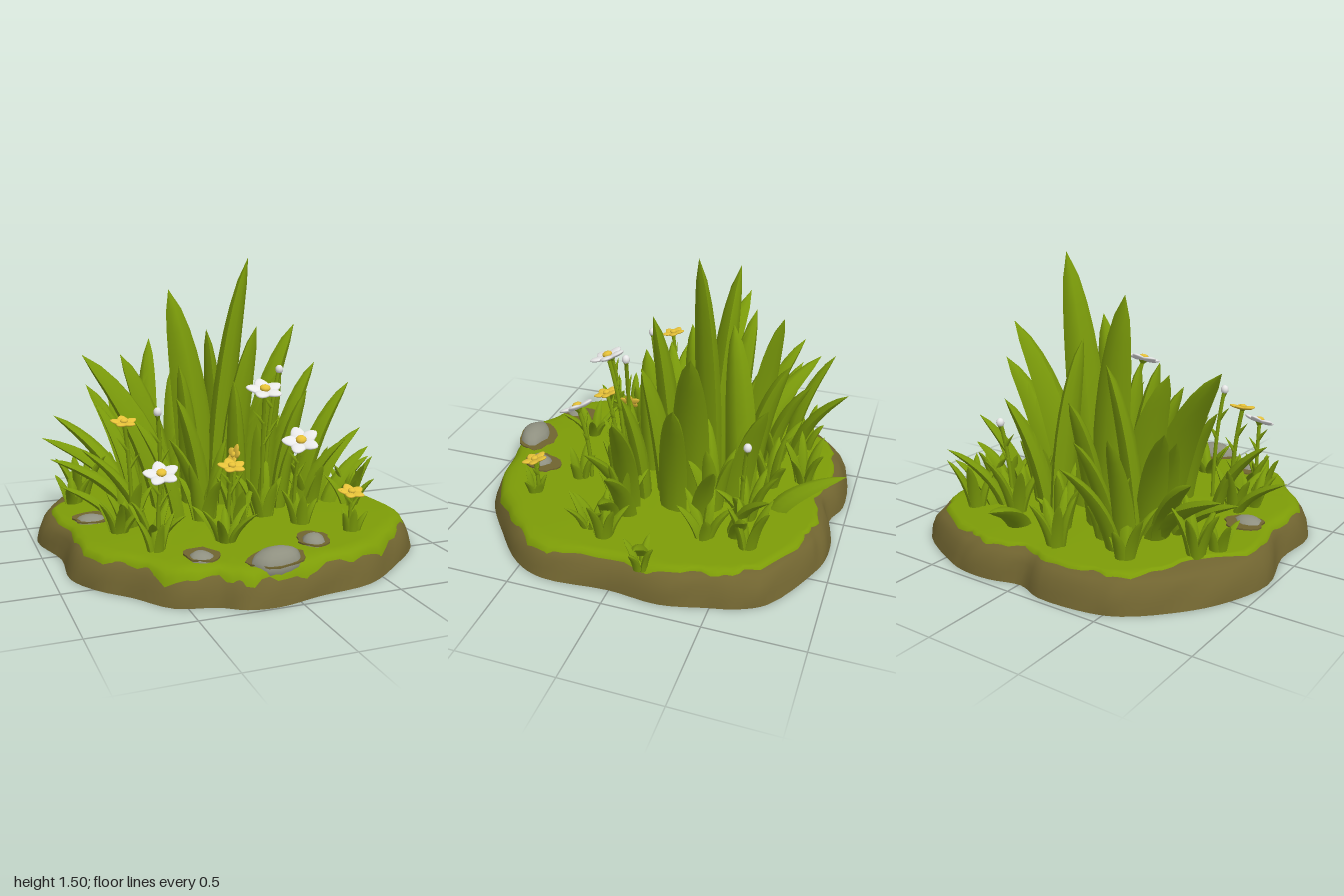
import * as THREE from 'three';
import { mergeGeometries, toCreasedNormals } from 'three/addons/utils/BufferGeometryUtils.js';

const V = (x, y, z) => new THREE.Vector3(x, y, z);

function material(name, color) {
  const m = new THREE.MeshStandardMaterial({ color });
  m.name = name;
  return m;
}

// Seeded random numbers
let seed = 11;
const rnd = (a = 0, b = 1) => {
  seed = (seed * 16807) % 2147483647;
  return a + (b - a) * seed / 2147483647;
};

// Skin over rings of points that run clockwise seen from the far end
function loft(rings, capStart = false, crease = 0.85) {
  const n = rings[0].length, pos = [], idx = [];
  rings.forEach(r => r.forEach(p => pos.push(p.x, p.y, p.z)));
  for (let i = 0; i < rings.length - 1; i++) for (let j = 0; j < n; j++) {
    const a = i * n + j, b = i * n + (j + 1) % n;
    idx.push(a, a + n, b, b, a + n, b + n);
  }
  if (capStart) {
    const c = rings[0].reduce((s, p) => s.add(p), V(0, 0, 0)).divideScalar(n);
    pos.push(c.x, c.y, c.z);
    for (let j = 0; j < n; j++) idx.push(pos.length / 3 - 1, j, (j + 1) % n);
  }
  const g = new THREE.BufferGeometry();
  g.setAttribute('position', new THREE.Float32BufferAttribute(pos, 3));
  g.setIndex(idx);
  return toCreasedNormals(g, crease);
}

// Outline of the clod seen from above (x, z)
const OUTLINE = [[-.16, -.97], [-.01, -.92], [.16, -.96], [.32, -.96], [.43, -.93], [.75, -.76], [.83, -.63],
  [.87, -.48], [.92, -.26], [.9, 0], [.92, .35], [.85, .52], [.65, .71], [.4, .89], [.11, .94], [-.11, .99],
  [-.26, .97], [-.37, .9], [-.56, .84], [-.7, .66], [-.83, .52], [-.92, .34], [-.91, .05], [-.98, -.26],
  [-.88, -.56], [-.73, -.76], [-.57, -.9], [-.44, -.95]];
// Edge profile: outline scale and height
const PROFILE = [[1, 0], [.988, .05], [.968, .1], [.94, .138], [.9, .157], [.65, .163], [0, .172]];
function heightAt(s) {
  const i = PROFILE.findIndex(p => p[0] <= s), [s1, y1] = PROFILE[i], [s0, y0] = PROFILE[Math.max(0, i - 1)];
  return i ? y0 + (y1 - y0) * (s0 - s) / (s0 - s1) : 0;
}

// Pointed leaf blade from base [x, z] to tip [x, y, z], half width w
const SECTION = [[1, 0], [.62, .5], [0, .78], [-.62, .5], [-1, 0], [-.6, -.38], [0, -.5], [.6, -.38]];
function blade([bx, bz], [tx, ty, tz], w, twist = 0) {
  const y0 = .14, steps = 9;
  const curve = new THREE.QuadraticBezierCurve3(V(bx, y0, bz),
    V(bx + (tx - bx) * .18, y0 + (ty - y0) * .58, bz + (tz - bz) * .18), V(tx, ty, tz));
  const lean = Math.atan2(tz - bz, tx - bx) + twist;
  const side = V(-Math.sin(lean), 0, Math.cos(lean));
  const rings = [];
  for (let i = 0; i <= steps; i++) {
    const t = i / steps, T = curve.getTangent(t), P = curve.getPoint(t);
    const U = side.clone().addScaledVector(T, -side.dot(T)).normalize();
    const N = U.clone().cross(T);
    const k = w * Math.max(.004, Math.pow(1 - t, .7) * (.8 + .9 * t) * 1.15);
    rings.push(SECTION.map(([u, v]) => P.clone().addScaledVector(U, u * k).addScaledVector(N, v * k)));
  }
  return loft(rings);
}

export function createModel() {
  seed = 11;
  const model = new THREE.Group();
  const grass = material('grass green', 0x7d9c07);
  const leafGreen = material('blade green', 0x7a9a0a);
  const soil = material('soil brown', 0x706430);
  const stone = material('stone grey', 0x8f9080);
  const white = material('petal white', 0xececec);
  const yellow = material('petal yellow', 0xe6c138);
  const add = (name, geo, mat, parent = model) => {
    const m = new THREE.Mesh(geo, mat);
    m.name = name;
    parent.add(m);
    return m;
  };

  // Soil clod, open under the turf
  const edge = new THREE.CatmullRomCurve3(OUTLINE.map(([x, z]) => V(x, 0, z)), true, 'centripetal')
    .getPoints(112).slice(0, -1);
  const soilRings = PROFILE.slice(0, -1).map(([s, y], i) => edge.map((p, j) => {
    const bump = i > 0 && i < 4 ? .008 * Math.sin(j * .9 + i) * Math.sin(j * .37) : 0;
    return V(p.x * (s + bump), y, p.z * (s + bump));
  }));
  add('soilBase', loft(soilRings, true), soil);

  // Turf with a ragged rim
  const rim = edge.map((p, j) => .938 + .025 * p.z + .01 * Math.sin(j * .8) + .008 * Math.sin(j * 1.9 + 1)
    - .1 * Math.exp(-((p.x + .88) ** 2 + (p.z + .6) ** 2) / .03));
  const turfRings = [1, .99, .975, .96, .94, .9, .75, .5, .25, .002].map((k, i) => edge.map((p, j) => {
    const s = rim[j] * k;
    return V(p.x * s, heightAt(s) + (i ? .012 : .001), p.z * s);
  }));
  add('turf', loft(turfRings, false, 1.2), grass);

  // Tall blades: base, tip, half width, twist
  const tall = [
    [[.05, -.25], [.22, 1.5, -.23], .105, .7], [[-.06, -.27], [-.21, 1.33, -.33], .115, 1.15],
    [[.04, -.03], [.17, 1.15, .02], .095, .8], [[.22, -.2], [.53, 1.12, -.29], .11, .4],
    [[-.3, -.14], [-.71, 1.0, -.27], .115, .4], [[-.26, -.3], [-.48, .98, -.36], .1, .6],
    [[-.33, -.42], [-.26, 1.04, -.56], .08, .4], [[.36, -.15], [.64, .9, -.24], .09, .6],
    [[.4, .08], [.72, .82, .03], .08, .4], [[-.14, 0], [-.3, .8, .08], .08, .7],
    [[.1, -.45], [.02, 1.1, -.36], .09, .9], [[-.4, -.4], [-.62, .78, -.62], .075, .3],
    [[.03, .06], [.0, .88, .12], .085, 1.2], [[.3, .04], [.43, .8, .1], .07, .6],
    [[-.12, -.45], [-.1, .85, -.64], .085, .3], [[.2, -.45], [.32, .8, -.62], .075, .3],
    [[-.16, -.14], [-.24, .95, -.06], .09, .9], [[.2, -.06], [.3, .92, .04], .085, .8],
  ];
  const tallGroup = new THREE.Group();
  tallGroup.name = 'tallBlades';
  model.add(tallGroup);
  tall.forEach(b => add('tallBlade', blade(...b), leafGreen, tallGroup));

  // Medium blades around the clump
  const medium = [
    [[.2, -.66], [.1, .37, -1], .06], [[-.36, -.64], [-.27, .64, -.93], .055], [[-.4, -.6], [-.45, .78, -.82], .055],
    [[-.46, -.4], [-.8, .6, -.69], .07], [[-.44, -.42], [-.89, .5, -.57], .065], [[-.5, -.3], [-.88, .42, -.38], .055],
    [[-.42, -.3], [-.6, .7, -.48], .06], [[.46, -.5], [.64, .5, -.72], .045], [[.5, -.53], [.7, .4, -.61], .045],
    [[.5, .05], [.79, .56, .05], .055], [[.55, .12], [.84, .45, .06], .05], [[.78, -.14], [.97, .33, -.16], .04],
    [[.4, .1], [.6, .55, .24], .05], [[-.5, .1], [-.8, .57, .06], .05], [[-.62, .1], [-.91, .39, .07], .04],
    [[-.3, .1], [-.52, .7, .05], .055], [[-.2, .18], [-.38, .62, .21], .05], [[-.15, .18], [-.08, .6, .22], .05],
    [[.15, .12], [.1, .66, .2], .05], [[.26, .14], [.33, .6, .2], .045], [[.45, -.32], [.66, .62, -.45], .055],
    [[-.25, -.52], [-.2, .7, -.74], .06],
  ];
  const mediumGroup = new THREE.Group();
  mediumGroup.name = 'mediumBlades';
  model.add(mediumGroup);
  medium.forEach(([b, t, w]) => add('mediumBlade', blade(b, t, w, rnd(-.6, .6)), leafGreen, mediumGroup));

  // Low tufts: x, z, height, spread, blade count
  const tufts = [
    [-.1, -.75, .25, .12, 5], [0, -.58, .28, .12, 5], [.33, -.54, .28, .16, 5], [.56, -.6, .24, .13, 4],
    [.55, -.38, .24, .14, 5], [.85, -.15, .13, .1, 4], [.7, .1, .22, .14, 5], [.45, .1, .3, .15, 5],
    [-.65, .22, .16, .14, 5], [-.52, .4, .2, .16, 5], [-.2, .54, .16, .16, 6], [-.2, .2, .3, .14, 6],
    [-.45, -.68, .24, .14, 5], [-.7, -.46, .26, .14, 5], [-.76, -.36, .18, .12, 4], [.45, .6, .12, .08, 5],
    [.12, .24, .3, .13, 5], [.25, .42, .2, .09, 4], [-.58, .15, .25, .15, 5], [-.55, .54, .16, .1, 4],
    [-.05, .3, .25, .12, 4], [.65, .2, .16, .13, 4], [-.25, -.55, .3, .14, 5], [.3, -.35, .4, .15, 5]];
  for (const [x, z, h, spread, n] of tufts) {
    const blades = [], turn = rnd(0, 6);
    for (let i = 0; i < n; i++) {
      const a = turn + i * Math.PI * 2 / n + rnd(-.3, .3), r = spread * rnd(.7, 1.15), c = Math.cos(a), s = Math.sin(a);
      blades.push(blade([x + c * .025, z + s * .025], [x + c * r, .165 + h * rnd(.65, 1.15), z + s * r],
        .016 + h * .075, rnd(-.4, .4)));
    }
    add('tuft', mergeGeometries(blades), leafGreen);
  }

  // Curved stem with two little leaves
  function stem(base, head, parent) {
    const path = new THREE.QuadraticBezierCurve3(V(base[0], .15, base[1]),
      V(base[0], (head.y + .15) * .55, base[1]), head);
    add('stem', new THREE.TubeGeometry(path, 10, .011, 6), leafGreen, parent);
    [.55, .72].forEach((t, i) => {
      const leaf = add('stemLeaf', new THREE.ConeGeometry(.014, .09, 5).translate(0, .045, 0), leafGreen, parent);
      leaf.position.copy(path.getPoint(t));
      leaf.rotation.z = i ? .7 : -.7;
    });
  }

  // Five-petalled flowers: head, radius, petal colour, forward and sideways tilt, stem base
  const flowers = [
    [[.1, .85, .3], .1, white, .36, .05, [.13, .2]], [[.25, .6, .42], .1, white, .5, .25, [.24, .36]],
    [[-.52, .53, .54], .09, white, .42, .12, [-.53, .5]], [[-.6, .71, .17], .07, yellow, .2, 0, [-.56, .14]],
    [[-.12, .5, .41], .075, yellow, .25, 0, [-.12, .36]], [[-.04, .515, .24], .06, yellow, .3, 1.1, [-.06, .28]],
    [[.45, .36, .59], .072, yellow, .25, 0, [.45, .58]]];
  for (const [p, r, petal, tiltX, tiltZ, base] of flowers) {
    const g = new THREE.Group(), head = new THREE.Group();
    g.name = 'flower';
    head.name = 'flowerHead';
    model.add(g);
    g.add(head);
    stem(base, V(...p), g);
    head.position.set(...p);
    head.rotation.set(tiltX, 0, tiltZ);
    for (let i = 0; i < 5; i++) {
      // petal narrows to a soft point at its outer end
      const geo = new THREE.SphereGeometry(1, 12, 8), q = geo.attributes.position;
      for (let k = 0; k < q.count; k++) q.setZ(k, q.getZ(k) * (1 - .3 * q.getX(k)));
      geo.scale(r * .46, r * .12, r * .38).rotateZ(.16).translate(r * .54, r * .08, 0).rotateY(i * Math.PI * .4 + .3);
      add('petal', geo, petal, head);
    }
    add('flowerCentre', new THREE.SphereGeometry(r * .28, 10, 6).scale(1, .6, 1).translate(0, r * .17, 0), yellow, head);
    add('sepal', new THREE.ConeGeometry(r * .32, r * .35, 6).rotateX(Math.PI).translate(0, -r * .15, 0), leafGreen, head);
  }

  // Closed buds: head and stem base
  for (const [p, base] of [[[.25, .93, .14], [.16, .16]], [[-.45, .77, .25], [-.42, .2]], [[.42, .64, -.55], [.38, -.52]]]) {
    const g = new THREE.Group();
    g.name = 'bud';
    model.add(g);
    stem(base, V(...p), g);
    add('budHead', new THREE.SphereGeometry(.021, 10, 8).scale(1, 1.15, 1).translate(...p), white, g);
    add('budCup', new THREE.ConeGeometry(.018, .04, 6).rotateX(Math.PI).translate(p[0], p[1] - .03, p[2]), leafGreen, g);
  }

  // Smooth stones, each in a bare patch: x, z, radii, height, turn, base height
  const lumpy = (geo, amount, phase) => {
    const q = geo.attributes.position;
    for (let i = 0; i < q.count; i++) {
      const k = 1 + amount * Math.sin(q.getX(i) * 4 + q.getZ(i) * 5 + phase);
      q.setXYZ(i, q.getX(i) * k, q.getY(i), q.getZ(i) * k);
    }
    return geo;
  };
  for (const [x, z, rx, rz, h, turn, y] of [[-.74, 0, .08, .065, .04, -.3, .165], [-.39, .72, .06, .065, .04, .2, .165],
    [-.07, .86, .13, .085, .08, .15, .155], [.19, .7, .06, .075, .05, -.4, .165]]) {
    const geo = lumpy(new THREE.SphereGeometry(1, 14, 10), .08, x * 9).scale(rx, h, rz).rotateY(turn);
    add('stone', geo, stone).position.set(x, y, z);
    const patch = lumpy(new THREE.CylinderGeometry(1, 1, .008, 18), .1, x * 9).scale(rx + .02, 1, rz + .03).rotateY(turn);
    add('barePatch', patch, soil).position.set(x + .01, y + .014, z - .025);
  }
  return model;
}
